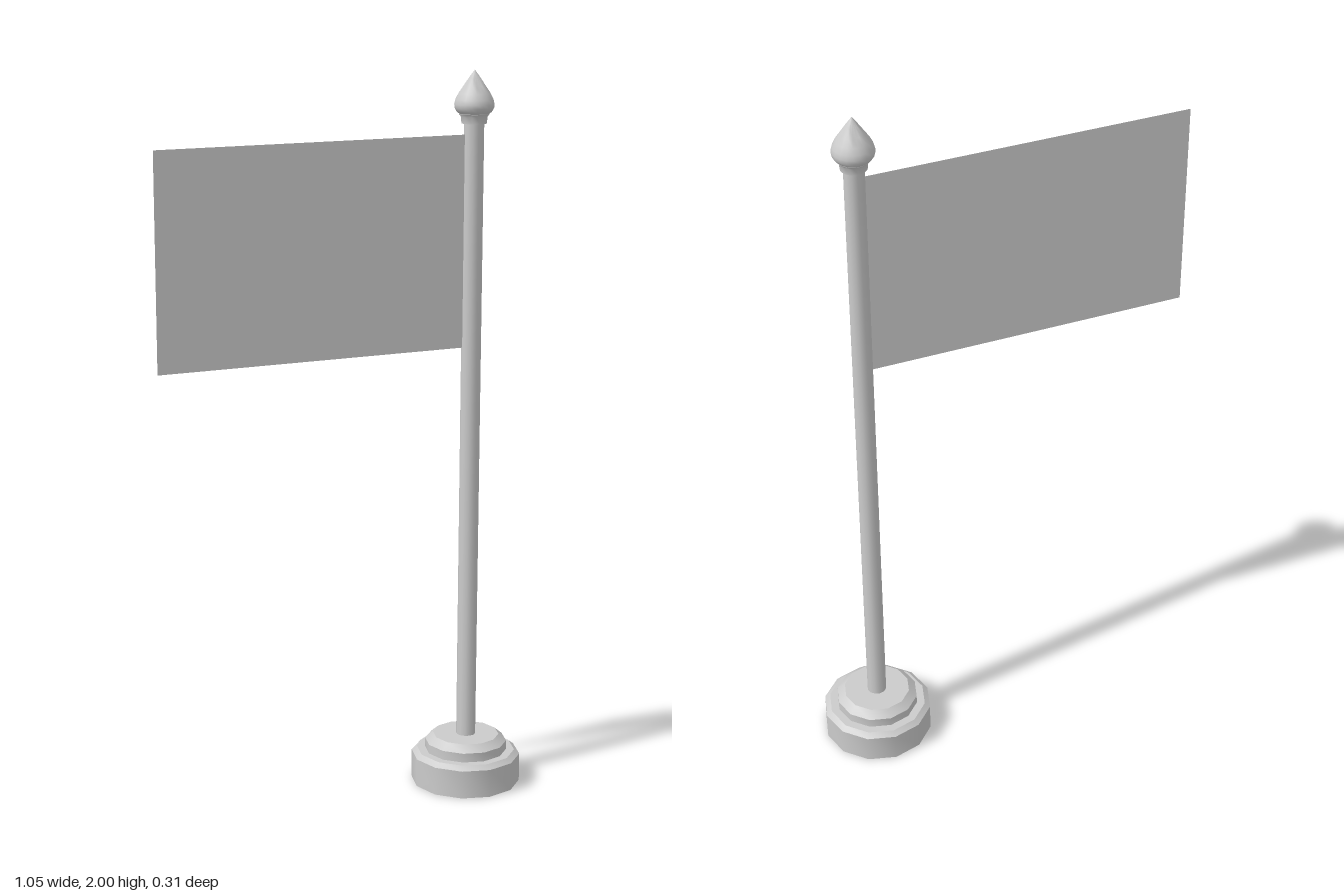
import * as THREE from 'three';
import { toCreasedNormals } from 'three/addons/utils/BufferGeometryUtils.js';

const POLE_X = 0.372;

export function createModel() {
  const group = new THREE.Group();
  const material = new THREE.MeshStandardMaterial({ color: 0xcccccc });

  // Turned part around the pole axis, from a [radius, height] profile running upward
  function turned(name, profile, sides) {
    const points = profile.map(([r, y]) => new THREE.Vector2(r, y));
    const geometry = toCreasedNormals(new THREE.LatheGeometry(points, sides), 0.6);
    const mesh = new THREE.Mesh(geometry, material);
    mesh.name = name;
    mesh.position.x = POLE_X;
    group.add(mesh);
  }

  // Stepped, bevelled foot
  turned('base', [
    [0, 0], [0.153, 0], [0.153, 0.08], [0.138, 0.092], [0.115, 0.092],
    [0.115, 0.118], [0.093, 0.137], [0, 0.137],
  ], 12);

  // Pole
  turned('pole', [[0, 0.13], [0.027, 0.13], [0.027, 1.87], [0, 1.87]], 12);

  // Collar below the finial
  turned('collar', [
    [0, 1.859], [0.034, 1.859], [0.036, 1.877], [0.041, 1.884], [0.041, 1.89], [0, 1.89],
  ], 20);

  // Pointed finial
  turned('finial', [
    [0, 1.882], [0.037, 1.882], [0.047, 1.89], [0.053, 1.9], [0.054, 1.91],
    [0.051, 1.922], [0.043, 1.938], [0.03, 1.957], [0.016, 1.978], [0, 2],
  ], 20);

  // Flat cloth, visible from both sides
  const left = -0.528, right = 0.35, bottom = 1.254, top = 1.83;
  const flag = new THREE.Mesh(
    new THREE.PlaneGeometry(right - left, top - bottom),
    new THREE.MeshStandardMaterial({ color: 0xcccccc, side: THREE.DoubleSide }),
  );
  flag.name = 'flag';
  flag.position.set((left + right) / 2, (top + bottom) / 2, 0);
  group.add(flag);

  return group;
}
